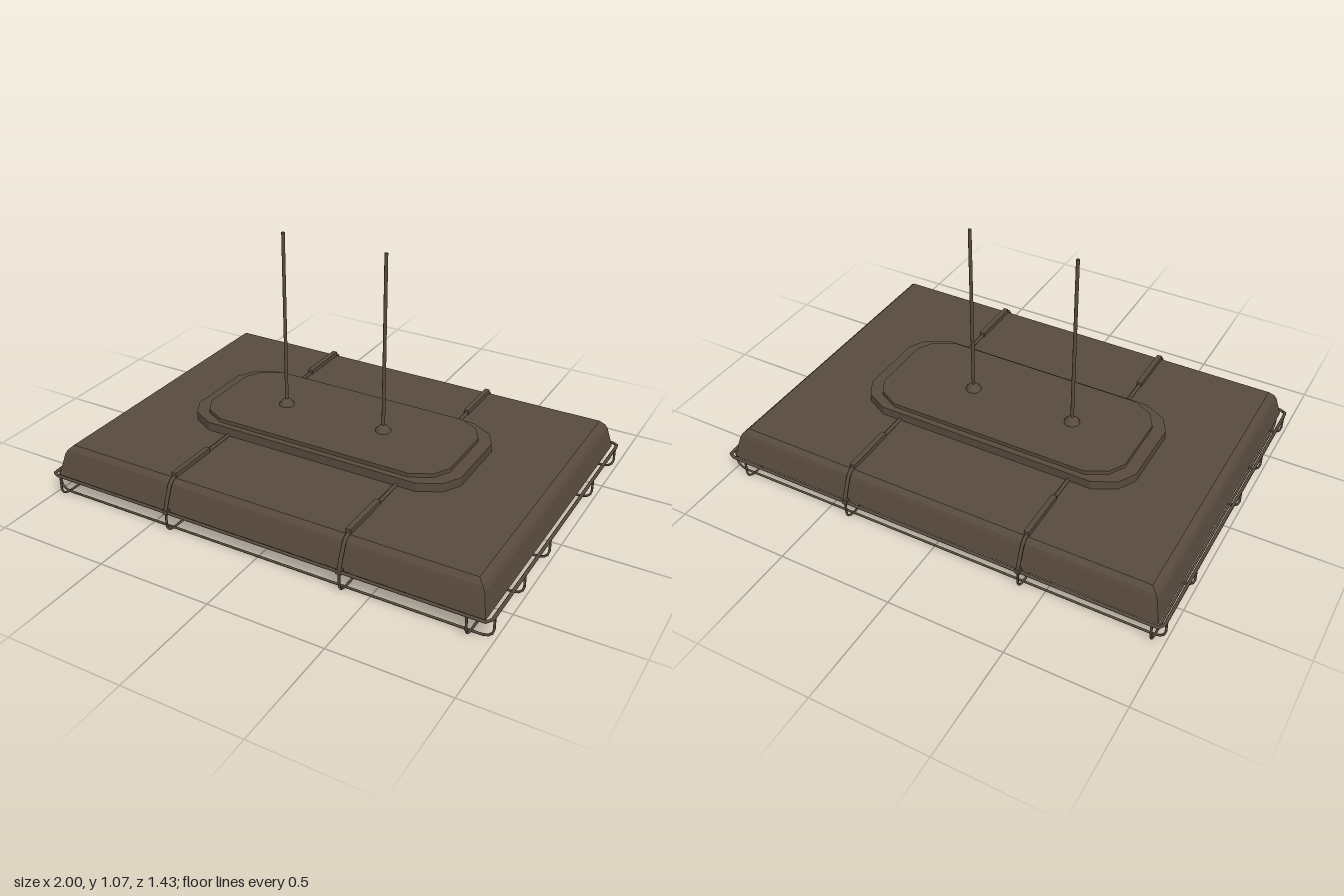
import * as THREE from 'three';

const brown = new THREE.MeshStandardMaterial({ color: 0x594b3e });
brown.name = 'bronze paint';
const tubeBlue = new THREE.MeshStandardMaterial({ color: 0x98a2c4 });
tubeBlue.name = 'lamp glass';
const capGrey = new THREE.MeshStandardMaterial({ color: 0xc6c8ca });
capGrey.name = 'lamp cap grey';

// Closed flat-shaded solid through convex rings of [x, y, z], counter-clockwise from above
function loft(rings) {
  const p = [];
  const tri = (a, b, c) => p.push(...a, ...b, ...c);
  const n = rings[0].length, first = rings[0], last = rings[rings.length - 1];
  for (let r = 0; r < rings.length - 1; r++) {
    for (let i = 0; i < n; i++) {
      const j = (i + 1) % n, a = rings[r], b = rings[r + 1];
      tri(a[i], a[j], b[j]);
      tri(a[i], b[j], b[i]);
    }
  }
  for (let i = 1; i < n - 1; i++) {
    tri(last[0], last[i], last[i + 1]);
    tri(first[0], first[i + 1], first[i]);
  }
  const g = new THREE.BufferGeometry();
  g.setAttribute('position', new THREE.Float32BufferAttribute(p, 3));
  g.computeVertexNormals();
  return g;
}

const rectRing = (x, y, z) => [[x, y, z], [x, y, -z], [-x, y, -z], [-x, y, z]];

// Round wire along straight runs with rounded corners
function wireGeometry(points, radius, bend, closed = false) {
  const v = points.map((p) => new THREE.Vector3(...p));
  const n = v.length, path = new THREE.CurvePath();
  const toward = (a, b) => a.clone().add(
    b.clone().sub(a).setLength(Math.min(bend, a.distanceTo(b) * 0.45)));
  let start = closed ? toward(v[0], v[1]) : v[0];
  for (let i = 1; i < (closed ? n + 1 : n - 1); i++) {
    const c = v[i % n], enter = toward(c, v[i - 1]), leave = toward(c, v[(i + 1) % n]);
    path.add(new THREE.LineCurve3(start, enter));
    path.add(new THREE.QuadraticBezierCurve3(enter, c, leave));
    start = leave;
  }
  if (!closed) path.add(new THREE.LineCurve3(start, v[n - 1]));
  return new THREE.TubeGeometry(path, closed ? 240 : 110, radius, 6, closed);
}

export function createModel() {
  const model = new THREE.Group();
  model.name = 'cagedCeilingLight';
  const add = (name, geo, mat, x = 0, y = 0, z = 0, parent = model) => {
    const m = new THREE.Mesh(geo, mat);
    m.name = name;
    m.position.set(x, y, z);
    parent.add(m);
    return m;
  };

  // Bevelled housing, hollow underneath
  add('housing', loft([
    rectRing(0.87, 0.205, 0.6), rectRing(0.93, 0.102, 0.655), rectRing(0.97, 0.102, 0.692),
    rectRing(0.95, 0.195, 0.667), rectRing(0.94, 0.215, 0.66), rectRing(0.918, 0.236, 0.642),
  ]), brown);

  // Reflector ridge between the two pairs of lamps
  add('reflectorRidge', loft([
    rectRing(0.86, 0.125, 0.04), rectRing(0.88, 0.21, 0.13),
  ]), brown);

  // Stepped mounting plate with clipped corners
  const corner = [[0.628, 0.15], [0.585, 0.225], [0.49, 0.275]];
  const outline = [
    ...corner.map(([x, z]) => [x, -z]),
    ...corner.slice().reverse().map(([x, z]) => [-x, -z]),
    ...corner.map(([x, z]) => [-x, z]),
    ...corner.slice().reverse(),
  ];
  const plateRing = (s, y) => outline.map(([x, z]) => [x * s, y, z * s]);
  add('mountingPlate', loft([
    plateRing(1, 0.23), plateRing(1, 0.274), plateRing(0.912, 0.275), plateRing(0.912, 0.292),
  ]), brown, -0.0125, 0, -0.015);

  // Hanging rods on domed collars
  const dome = new THREE.LatheGeometry([
    [0.034, 0], [0.031, 0.01], [0.02, 0.022], [0.011, 0.03], [0, 0.031],
  ].map(([x, y]) => new THREE.Vector2(x, y)), 20);
  const rod = new THREE.CylinderGeometry(0.0075, 0.0075, 0.79, 10);
  for (const x of [-0.282, 0.19]) {
    add('rodCollar', dome, brown, x, 0.29, -0.015);
    add('hangingRod', rod, brown, x, 0.685, -0.015);
  }

  // Wire guard
  const guard = new THREE.Group();
  guard.name = 'wireGuard';
  model.add(guard);
  const X = 0.993, Z = 0.708, top = 0.108, low = 0.012;
  add('guardRim', wireGeometry(
    [[X, top, Z], [X, top, -Z], [-X, top, -Z], [-X, top, Z]], 0.007, 0.025, true),
  brown, 0, 0, 0, guard);
  for (const z of [-0.663, -0.375, 0.122, 0.38, 0.663]) {
    add('lengthwiseWire', wireGeometry(
      [[-X, top, z], [-X, low, z], [X, low, z], [X, top, z]], 0.005, 0.055),
    brown, 0, 0, 0, guard);
  }
  for (const x of [-0.952, -0.402, 0.392, 0.905]) {
    add('crosswiseWire', wireGeometry(
      [[x, top, -Z], [x, low, -Z], [x, low, Z], [x, top, Z]], 0.005, 0.055),
    brown, 0, 0, 0, guard);
  }

  // Hooks that clip the guard over the housing
  for (const x of [-0.402, 0.392]) {
    for (const s of [-1, 1]) {
      add('guardHook', wireGeometry(
        [[x, 0.1, s * Z], [x, 0.13, s * Z], [x, 0.238, s * 0.662], [x, 0.24, s * 0.26]],
        0.008, 0.035), brown, 0, 0, 0, guard);
      add('hookClip', new THREE.BoxGeometry(0.022, 0.024, 0.23), brown,
        x, 0.244, s * 0.525, guard);
      add('hookFoot', new THREE.BoxGeometry(0.024, 0.02, 0.02), brown,
        x, 0.11, s * 0.706, guard);
    }
  }

  // Four lamp tubes with end caps and holders
  const lamp = new THREE.CylinderGeometry(0.025, 0.025, 1.66, 16).rotateZ(Math.PI / 2);
  const cap = new THREE.CylinderGeometry(0.028, 0.028, 0.05, 16).rotateZ(Math.PI / 2);
  const holder = new THREE.BoxGeometry(0.025, 0.09, 0.06);
  for (const z of [-0.46, -0.2, 0.2, 0.46]) {
    add('lampTube', lamp, tubeBlue, 0, 0.145, z);
    for (const s of [-1, 1]) {
      add('lampCap', cap, capGrey, s * 0.84, 0.145, z);
      add('lampHolder', holder, capGrey, s * 0.87, 0.165, z);
    }
  }
  return model;
}
